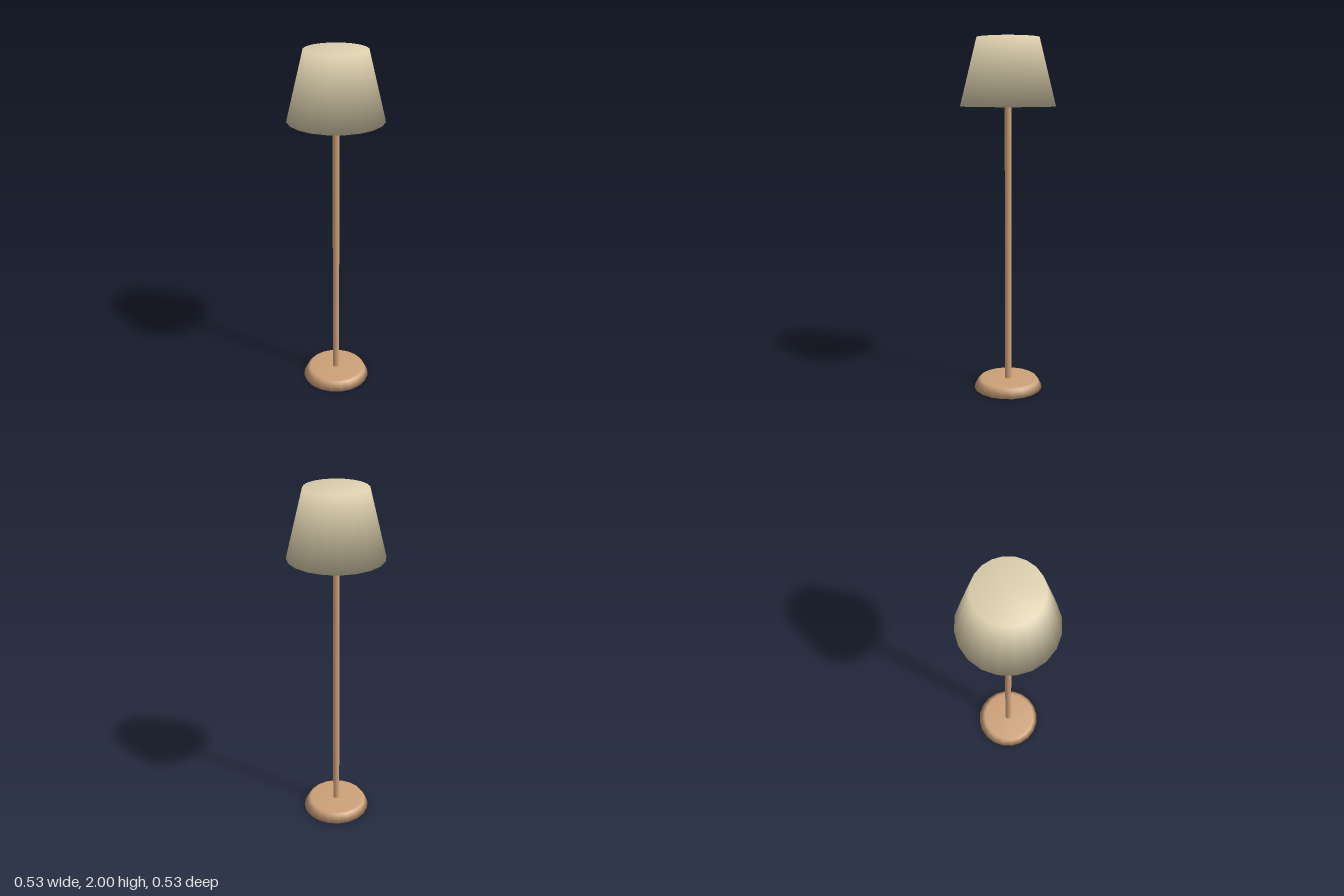
import * as THREE from 'three';

const SIDES = 20;
const CAP_WEIGHT = 3.8; // how strongly a flat end pulls the normals of its rim

// Closed round part from a [radius, y] profile, listed from bottom to top.
// Normals run smoothly over all edges, with the flat ends dominating their rims.
function turned(name, profile, material) {
  const points = profile.map(([r, y]) => new THREE.Vector2(r, y));
  const last = points.length - 1;

  // Outward normal of each band of the profile
  const bands = points.slice(1).map((p, i) => {
    const normal = new THREE.Vector2(p.y - points[i].y, points[i].x - p.x).normalize();
    return normal.multiplyScalar(i === 0 || i === last - 1 ? CAP_WEIGHT : 1);
  });

  // Each ring blends the two bands that meet there
  const rings = points.map((p, i) => {
    const below = bands[Math.max(i - 1, 0)];
    const above = bands[Math.min(i, last - 1)];
    return below.clone().add(above).normalize();
  });

  const geometry = new THREE.LatheGeometry(points, SIDES);
  const normals = geometry.attributes.normal;
  for (let i = 0; i < normals.count; i++) {
    const angle = (Math.floor(i / points.length) / SIDES) * Math.PI * 2;
    const ring = rings[i % points.length];
    normals.setXYZ(i, ring.x * Math.sin(angle), ring.y, ring.x * Math.cos(angle));
  }

  const mesh = new THREE.Mesh(geometry, material);
  mesh.name = name;
  return mesh;
}

export function createModel() {
  const wood = new THREE.MeshStandardMaterial({ color: 0xcba077 });
  wood.name = 'warm wood';
  const fabric = new THREE.MeshStandardMaterial({ color: 0xddd0ae });
  fabric.name = 'cream fabric';

  const lamp = new THREE.Group();
  lamp.name = 'floorLamp';

  // Round foot with a softened upper edge
  lamp.add(turned('base', [
    [0, 0], [0.198, 0], [0.178, 0.038], [0.171, 0.048], [0.158, 0.053], [0, 0.053],
  ], wood));

  // Straight slim pole, its ends hidden in the base and the shade
  const pole = new THREE.Mesh(new THREE.CylinderGeometry(0.019, 0.019, 1.6, 12), wood);
  pole.name = 'pole';
  pole.position.y = 0.84;
  lamp.add(pole);

  // Tapered shade, closed at both ends
  lamp.add(turned('shade', [
    [0, 1.628], [0.266, 1.628], [0.173, 2], [0, 2],
  ], fabric));

  return lamp;
}
